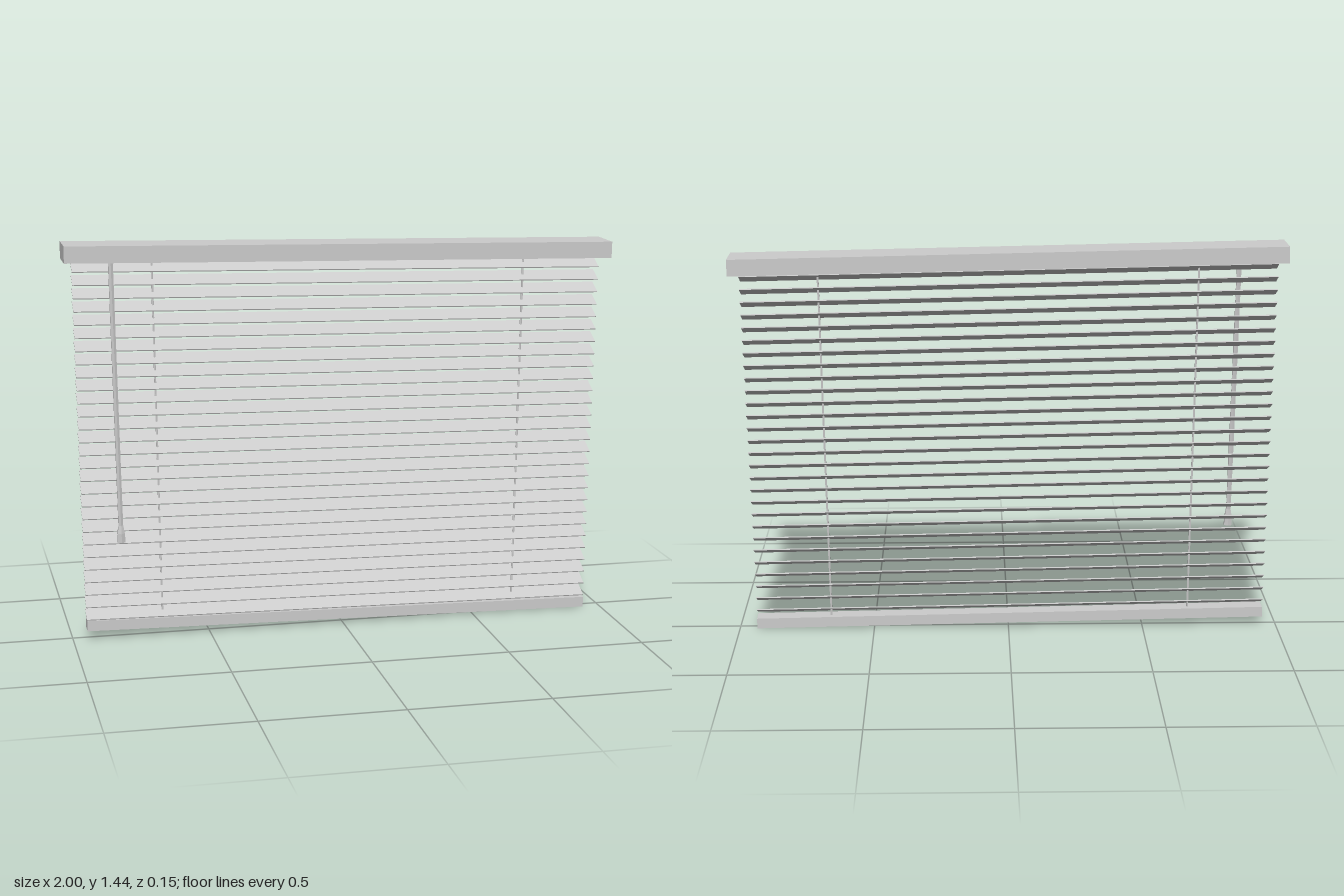
import * as THREE from 'three';

const material = new THREE.MeshStandardMaterial({ color: 0xcccccc, flatShading: true });

// Long box between two end points, tilted about its own length
function bar(name, left, right, height, depth, z, tilt = 0) {
  const dx = right[0] - left[0], dy = right[1] - left[1];
  const mesh = new THREE.Mesh(new THREE.BoxGeometry(Math.hypot(dx, dy), height, depth), material);
  mesh.name = name;
  mesh.position.set((left[0] + right[0]) / 2, (left[1] + right[1]) / 2, z);
  mesh.rotation.set(tilt, 0, Math.atan2(dy, dx), 'ZXY');
  return mesh;
}

// Thin rod between two points, with a radius at each end
function rod(name, top, bottom, radiusTop, radiusBottom, sides = 6) {
  const a = new THREE.Vector3(...top), b = new THREE.Vector3(...bottom);
  const mesh = new THREE.Mesh(new THREE.CylinderGeometry(radiusTop, radiusBottom, a.distanceTo(b), sides), material);
  mesh.name = name;
  mesh.position.copy(a).add(b).multiplyScalar(0.5);
  mesh.quaternion.setFromUnitVectors(new THREE.Vector3(0, 1, 0), a.sub(b).normalize());
  return mesh;
}

export function createModel() {
  const group = new THREE.Group();
  group.name = 'windowBlind';
  const lerp = THREE.MathUtils.lerp;

  // Head rail and bottom rail, both hanging slightly askew
  group.add(bar('headRail', [-1, 1.41], [1, 1.37], 0.06, 0.148, 0));
  group.add(bar('bottomRail', [-0.948, 0.052], [0.936, 0.019], 0.038, 0.062, 0.004));

  // Tilted slats, getting a little shorter towards the bottom
  const slats = new THREE.Group();
  slats.name = 'slats';
  const count = 28;
  for (let i = 0; i < count; i++) {
    const t = i / (count - 1);
    slats.add(bar('slat',
      [lerp(-0.97, -0.95, t), lerp(1.357, 0.088, t)],
      [lerp(0.964, 0.936, t), lerp(1.317, 0.06, t)],
      0.004, 0.065, 0.004, THREE.MathUtils.degToRad(25)));
  }
  group.add(slats);

  // Lift cords
  group.add(rod('rightCord', [-0.686, 1.39, 0], [-0.67, 0.05, 0], 0.004, 0.004));
  group.add(rod('leftCord', [0.684, 1.36, 0], [0.66, 0.03, 0], 0.004, 0.004));

  // Tilt wand with a flared grip
  const wand = new THREE.Group();
  wand.name = 'tiltWand';
  wand.add(rod('wandRod', [-0.838, 1.39, 0.06], [-0.822, 0.4, 0.06], 0.0095, 0.0095));
  wand.add(rod('wandFlare', [-0.822, 0.43, 0.06], [-0.822, 0.4, 0.06], 0.0095, 0.015));
  wand.add(rod('wandGrip', [-0.822, 0.4, 0.06], [-0.821, 0.367, 0.06], 0.015, 0.016));
  group.add(wand);

  return group;
}
